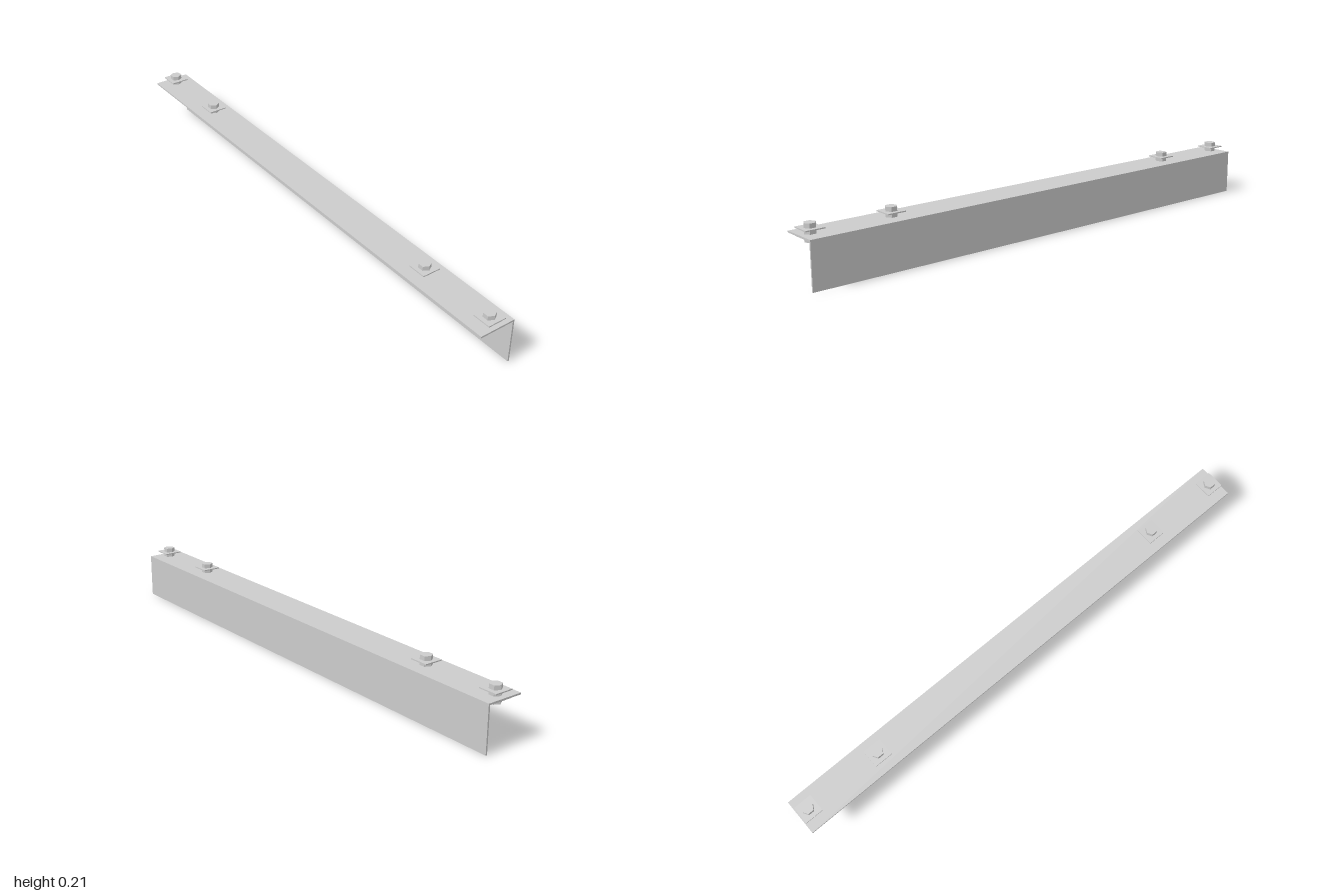
import * as THREE from 'three';

export function createModel() {
  const model = new THREE.Group();
  const material = new THREE.MeshStandardMaterial({ color: 0xcccccc, flatShading: true });

  const add = (parent, name, geometry) => {
    const mesh = new THREE.Mesh(geometry, material);
    mesh.name = name;
    parent.add(mesh);
  };

  // L-section angle: [z, y] profile swept along x
  const profile = [[0.07, 0.171], [0.07, 0.165], [-0.064, 0.165], [-0.064, 0], [-0.07, 0], [-0.07, 0.171]];
  const section = new THREE.Shape(profile.map(([z, y]) => new THREE.Vector2(-z, y)));
  const angle = new THREE.ExtrudeGeometry(section, { depth: 2, bevelEnabled: false });
  angle.translate(0, 0, -1).rotateY(Math.PI / 2);
  add(model, 'angleBar', angle);

  // Hexagonal prism with corners pointing along x
  const hex = (y0, y1) => new THREE.CylinderGeometry(0.022, 0.022, y1 - y0, 6)
    .rotateY(Math.PI / 2).translate(0, (y0 + y1) / 2, 0);
  // Square plate washer
  const plate = (y0, y1) => new THREE.BoxGeometry(0.07, y1 - y0, 0.07)
    .translate(0, (y0 + y1) / 2, 0);

  // Bolt assemblies clamped through the top flange, a pair near each end
  for (const x of [-0.96, -0.656, 0.656, 0.96]) {
    const bolt = new THREE.Group();
    bolt.name = 'boltAssembly';
    bolt.position.x = x;
    add(bolt, 'boltHead', hex(0.191, 0.207));
    add(bolt, 'upperWasher', plate(0.187, 0.191));
    add(bolt, 'spacer', hex(0.171, 0.187));
    add(bolt, 'lowerWasher', plate(0.161, 0.165));
    add(bolt, 'nut', hex(0.144, 0.161));
    model.add(bolt);
  }
  return model;
}
